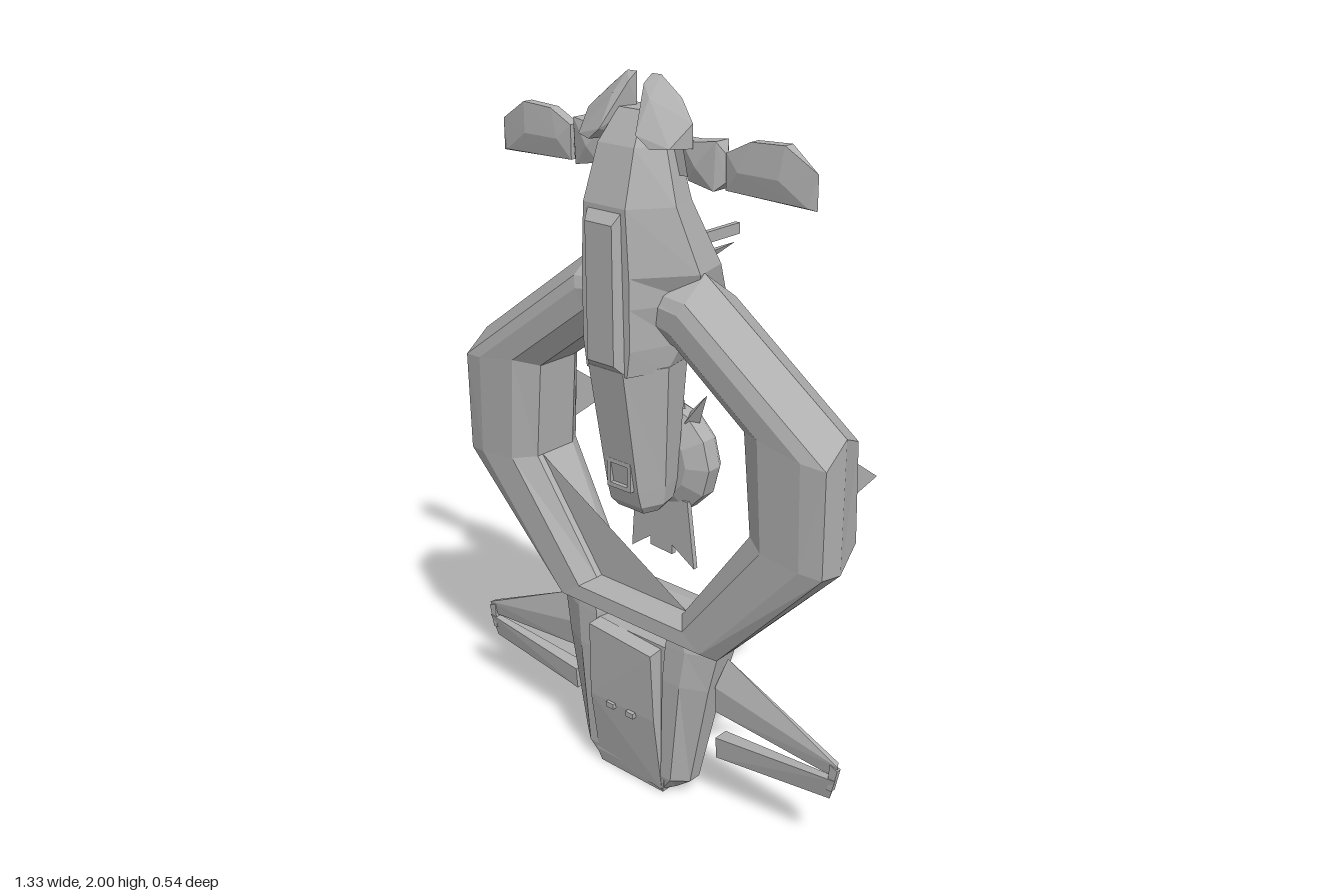
import * as THREE from 'three';
import { ConvexGeometry } from 'three/addons/geometries/ConvexGeometry.js';

const hullGrey = new THREE.MeshStandardMaterial({ color: 0xb0b0b0, flatShading: true });
hullGrey.name = 'hullGrey';

// Skin a list of equal-length cross-section loops, cap both ends, face outward.
function loft(sections) {
  const n = sections[0].length, tris = [];
  for (let s = 0; s + 1 < sections.length; s++) {
    const a = sections[s], b = sections[s + 1];
    for (let i = 0; i < n; i++) {
      const j = (i + 1) % n;
      tris.push([a[i], a[j], b[j]], [a[i], b[j], b[i]]);
    }
  }
  const first = sections[0], last = sections[sections.length - 1];
  for (let i = 1; i + 1 < n; i++) {
    tris.push([first[0], first[i + 1], first[i]], [last[0], last[i], last[i + 1]]);
  }
  let volume = 0;
  const v = (p) => new THREE.Vector3(...p);
  for (const [a, b, c] of tris) volume += v(a).dot(v(b).cross(v(c)));
  const pos = tris.flatMap((t) => (volume < 0 ? [t[0], t[2], t[1]] : t)).flat();
  const g = new THREE.BufferGeometry();
  g.setAttribute('position', new THREE.Float32BufferAttribute(pos, 3));
  g.computeVertexNormals();
  return g;
}

// Convex solid around a few corner points.
const solid = (pts) => new ConvexGeometry(pts.map((p) => new THREE.Vector3(...p)));

// Flat outline in x-y, given a front and a back depth.
const slab = (outline, z0, z1) =>
  solid(outline.flatMap(([x, y]) => [[x, y, z0], [x, y, z1]]));

const box = (x0, x1, y0, y1, z0, z1) => {
  const g = new THREE.BoxGeometry(x1 - x0, y1 - y0, z1 - z0);
  return g.translate((x0 + x1) / 2, (y0 + y1) / 2, (z0 + z1) / 2);
};

export function createModel() {
  const model = new THREE.Group();
  const add = (name, geometry) => {
    const mesh = new THREE.Mesh(geometry, hullGrey);
    mesh.name = name;
    model.add(mesh);
  };
  // Build a part on both sides; side is +1 (left) or -1 (right).
  const pair = (name, make) => {
    for (const side of [1, -1]) add((side > 0 ? 'left' : 'right') + name, make(side));
  };

  // Ring hull: outer x, y, inner x, y, back depth, drop of the bevelled shoulder, outer front z
  const ring = [
    [0, 1.55, 0, 1.38, -0.055, 0.06, 0.17],
    [0.19, 1.53, 0.13, 1.34, -0.05, 0.06, 0.17],
    [0.632, 1.21, 0.36, 1.17, -0.045, 0.06, 0.17],
    [0.632, 0.845, 0.385, 0.89, -0.05, -0.015, 0.168],
    [0.29, 0.49, 0.16, 0.58, 0.01, 0, 0.15],
    [0, 0.49, 0, 0.58, 0.01, 0, 0.15],
  ];
  pair('RingHalf', (side) => loft(ring.map(([xo, yo, xi, yi, zb, drop, zf]) => {
    const at = (t, z, d = 0) => [side * (xi + (xo - xi) * t), yi + (yo - yi) * t - d, z];
    return [at(1, 0.09), at(1, zf, drop), at(0.75, 0.183, drop * 0.7), at(0.26, 0.18),
      at(0, 0.14), at(0, zb + 0.05), at(0.15, zb), at(0.8, zb + 0.004, drop * 0.9)];
  })));

  // Fuselage: y, half width, front half width, front z, back z
  const bodyLoop = ([y, w, f, zf, zb]) => {
    const zm = zb + (zf - zb) * 0.45, b = w * 0.85;
    return [[f, y, zf], [w, y, zm], [b, y, zb], [-b, y, zb], [-w, y, zm], [-f, y, zf]];
  };
  add('fuselage', loft([
    [1.92, 0.07, 0.04, 0.15, 0.075],
    [1.84, 0.1, 0.06, 0.205, 0.075],
    [1.7, 0.145, 0.07, 0.25, 0.065],
    [1.53, 0.19, 0.08, 0.25, -0.005],
    [1.45, 0.165, 0.08, 0.25, -0.05],
    [1.34, 0.13, 0.08, 0.25, -0.01],
    [1.27, 0.11, 0.07, 0.25, 0.05],
  ].map(bodyLoop)));
  add('nose', loft([
    [1.28, 0.115, 0.06, 0.255, 0.05],
    [0.93, 0.085, 0.055, 0.198, 0.06],
    [0.88, 0.08, 0.055, 0.185, 0.07],
    [0.855, 0.06, 0.045, 0.165, 0.09],
  ].map(bodyLoop)));
  add('frontRidge', solid([-1, 1].flatMap((s) => [
    [s * 0.06, 1.7, 0.24], [s * 0.045, 1.66, 0.272], [s * 0.045, 1.3, 0.272],
    [s * 0.065, 1.27, 0.245]])));

  // Square port in the nose
  for (const [x0, x1, y0, y1] of [[-0.042, 0.042, 1.0, 1.012], [-0.042, 0.042, 0.93, 0.942],
    [-0.042, -0.03, 0.93, 1.012], [0.03, 0.042, 0.93, 1.012]]) {
    add('nosePortFrame', box(x0, x1, y0, y1, 0.185, 0.212));
  }

  // Rear dish with a recessed rim, held behind the nose
  const dish = new THREE.LatheGeometry([[0, 0.06], [0.1, 0.06], [0.158, 0.03], [0.158, -0.015],
    [0.145, -0.035], [0.13, -0.035], [0.125, -0.02], [0, -0.02]]
    .map(([r, h]) => new THREE.Vector2(r, -h)), 12);
  add('dish', dish.rotateX(-Math.PI / 2).translate(0, 0.965, 0));
  add('dishCore', new THREE.CylinderGeometry(0.115, 0.115, 0.03, 8)
    .rotateX(Math.PI / 2).rotateZ(Math.PI / 8).translate(0, 0.965, -0.018));
  add('dishStrut', box(-0.05, 0.05, 0.92, 1.05, 0.03, 0.1));

  // Spikes over the dish and fanned blades under it
  for (const a of [-0.6, -0.2, 0.2, 0.6]) {
    const p = (r, t, z) => [Math.sin(t) * r, 0.97 + Math.cos(t) * r, z];
    add('dishSpike', solid([p(0.14, a - 0.16, 0), p(0.14, a + 0.16, 0),
      p(0.14, a, 0.04), p(0.25, a, 0.02)]));
  }
  for (const [t0, t1, x0, x1, y0, y1] of [[-0.095, -0.02, -0.11, -0.035, 0.665, 0.72],
    [-0.04, 0.04, -0.04, 0.04, 0.69, 0.685], [0.02, 0.095, 0.03, 0.12, 0.72, 0.665]]) {
    add('tailFeather', slab([[t0, 0.86], [t1, 0.86], [x1, y1], [(x0 + x1) / 2, 0.71], [x0, y0]],
      0.03, 0.045));
  }

  // Head: crossbar, joint pods, end pods and upright pincers
  add('crossbar', box(-0.17, 0.17, 1.765, 1.855, 0.065, 0.1));
  pair('JointPod', (s) => solid([
    ...[0.062, 0.112].flatMap((z) => [[s * 0.13, 1.85, z], [s * 0.235, 1.865, z],
      [s * 0.15, 1.76, z], [s * 0.23, 1.745, z]]),
    [s * 0.256, 1.83, 0.09], [s * 0.256, 1.77, 0.09], [s * 0.18, 1.8, 0.125],
  ]));
  pair('EndPod', (s) => solid([
    ...[0.07, 0.1].flatMap((z) => [[s * 0.258, 1.84, z], [s * 0.258, 1.75, z],
      [s * 0.33, 1.875, z], [s * 0.43, 1.88, z], [s * 0.5, 1.745, z]]),
    [s * 0.52, 1.825, 0.09], [s * 0.52, 1.74, 0.09],
    [s * 0.3, 1.8, 0.11], [s * 0.42, 1.8, 0.11], [s * 0.3, 1.8, 0.06], [s * 0.42, 1.8, 0.06],
  ]));
  pair('Pincer', (s) => solid([
    [s * 0.025, 2, 0.1], [s * 0.055, 2, 0.1], [s * 0.025, 1.98, 0.13], [s * 0.06, 1.95, 0.15],
    [s * 0.025, 1.92, 0.1], [s * 0.12, 1.952, 0.1], [s * 0.172, 1.9, 0.12],
    [s * 0.172, 1.84, 0.12], [s * 0.1, 1.84, 0.195], [s * 0.06, 1.87, 0.2],
    [s * 0.15, 1.845, 0.18], [s * 0.06, 1.84, 0.1],
  ]));

  // Tail legs run down from the ring: y, inner x, outer x, back z, front z
  pair('TailLeg', (s) => loft([
    [0.54, 0.14, 0.23, 0.02, 0.17],
    [0.49, 0.13, 0.285, 0.015, 0.175],
    [0.38, 0.125, 0.262, 0.032, 0.183],
    [0.06, 0.12, 0.2, 0.06, 0.185],
    [0.01, 0.1, 0.14, 0.08, 0.175],
  ].map(([y, xi, xo, zb, zf]) => [[xi, zf], [xi + (xo - xi) * 0.45, zf], [xo, zf - 0.035],
    [xo, zb + 0.05], [xi + (xo - xi) * 0.5, zb], [xi, zb + 0.01]].map(([x, z]) => [s * x, y, z]))));

  // Centre block between the legs, set just below the ring
  add('tailBlock', solid([-1, 1].flatMap((s) => [
    [s * 0.135, 0.475, 0.17], [s * 0.135, 0.46, 0.035], [s * 0.13, 0.05, 0.06],
    [s * 0.13, 0.01, 0.08], [s * 0.12, 0, 0.175], [s * 0.13, 0.04, 0.183]])));
  add('tailFrontPlate', solid([
    [-0.12, 0.482, 0.17], [-0.12, 0.478, 0.215], [0.11, 0.46, 0.215], [0.11, 0.465, 0.17],
    [-0.12, 0.25, 0.215], [0.115, 0.25, 0.208], [-0.125, 0.03, 0.18], [0.12, 0.01, 0.18],
  ]));
  add('tailBackPlate', solid([-1, 1].flatMap((s) => [
    [s * 0.125, 0.46, 0.035], [s * 0.11, 0.44, 0.022], [s * 0.08, 0.06, 0.052],
    [s * 0.1, 0.04, 0.07]])));
  for (const x of [-0.04, 0.035]) {
    add('tailPort', box(x - 0.014, x + 0.014, 0.236, 0.252, 0.2, 0.222));
  }

  // Split tail wings
  pair('UpperTailWing', (s) => solid([
    [s * 0.29, 0.475, 0.1], [s * 0.27, 0.305, 0.085], [s * 0.27, 0.31, 0.125],
    [s * 0.655, 0.305, 0.09], [s * 0.665, 0.3, 0.105], [s * 0.65, 0.262, 0.1],
    [s * 0.27, 0.39, 0.13],
  ]));
  pair('LowerTailWing', (s) => solid([
    [s * 0.27, 0.225, 0.08], [s * 0.27, 0.225, 0.125], [s * 0.27, 0.158, 0.095],
    [s * 0.27, 0.158, 0.12], [s * 0.655, 0.258, 0.09], [s * 0.66, 0.258, 0.11],
    [s * 0.64, 0.19, 0.1],
  ]));
  pair('WingTip', (s) => slab([[s * 0.64, 0.3], [s * 0.665, 0.29], [s * 0.65, 0.22],
    [s * 0.635, 0.22]], 0.093, 0.108));

  // Rear fins on the ring sides
  pair('FinMount', (s) => box(s * 0.4875 - 0.0325, s * 0.4875 + 0.0325, 0.86, 1.1, -0.058, -0.03));
  pair('FinBase', (s) => slab([[s * 0.47, 1.09], [s * 0.5, 1.09], [s * 0.5, 0.91],
    [s * 0.47, 0.91]], -0.088, -0.04));
  pair('SideFin', (s) => solid([0.478, 0.49].flatMap((x) => [
    [s * x, 1.085, -0.08], [s * x, 0.91, -0.08], [s * x, 0.95, -0.27]])));

  // Rear top fin with a spike below it, and long tail spikes
  add('topFin', box(-0.008, 0.008, 1.527, 1.558, -0.27, -0.04));
  add('topFinSpike', solid([[-0.02, 1.5, -0.04], [0.02, 1.5, -0.04], [0, 1.45, -0.04],
    [0, 1.505, -0.26]]));
  add('topFinMount', box(-0.025, 0.025, 1.46, 1.555, -0.045, 0));
  pair('TailSpike', (s) => solid([[s * 0.155, 0.4, 0.035], [s * 0.2, 0.4, 0.035],
    [s * 0.18, 0.31, 0.05], [s * 0.175, 0.08, -0.2]]));

  // Slanted panel across the lower right of the ring opening
  add('innerPanel', solid([[-0.385, 0.89, 0.12], [0.16, 0.58, 0.12], [-0.16, 0.575, 0.12],
    [-0.3, 0.74, 0.115]]));
  return model;
}
